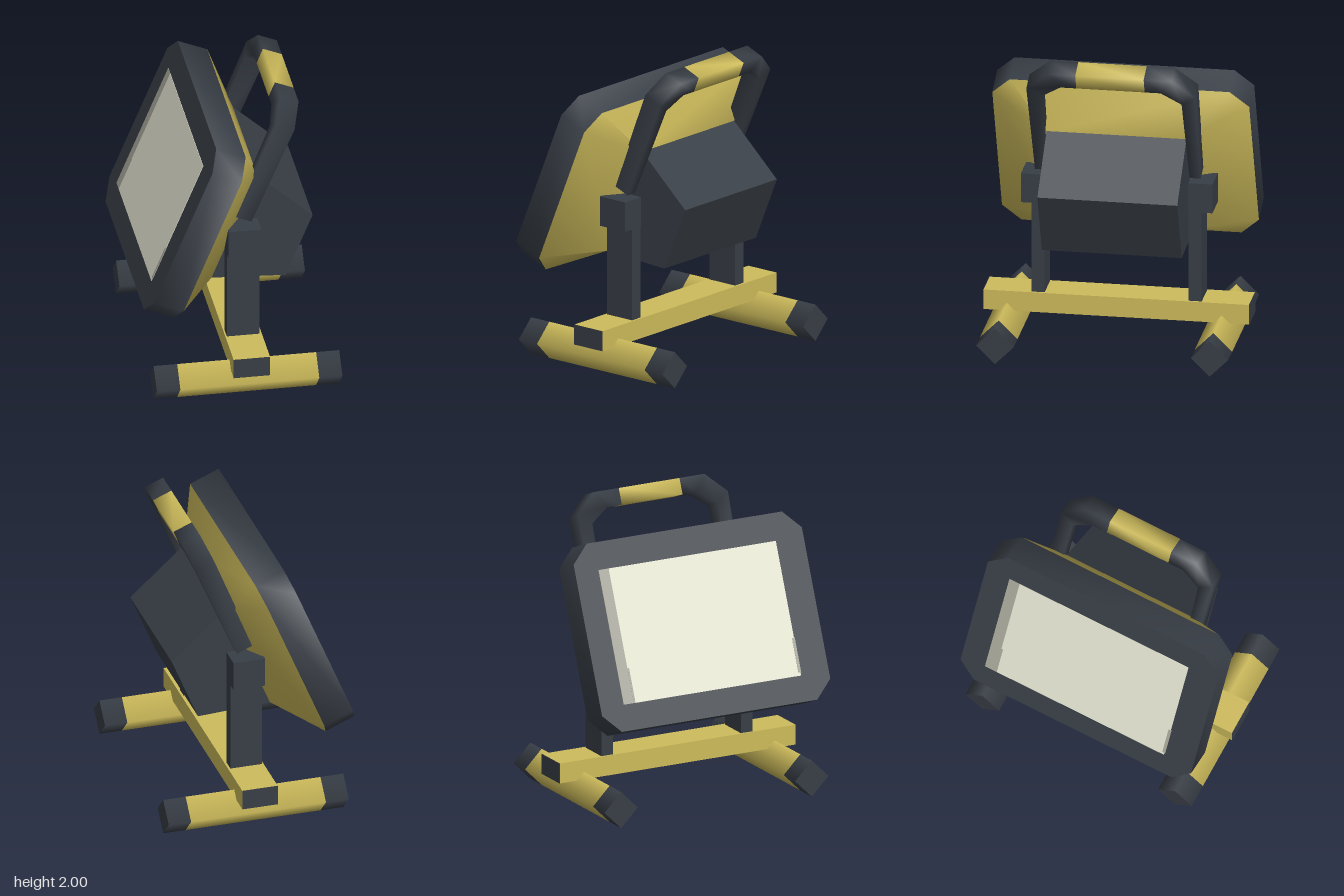
import * as THREE from 'three';
import { toCreasedNormals } from 'three/addons/utils/BufferGeometryUtils.js';

// Skin between rings of [x, y, z] points that run counter-clockwise about the travel direction
function loft(rings, caps = [true, true]) {
  const n = rings[0].length, last = rings.length - 1;
  const pos = rings.flat(2), index = [];
  for (let i = 0; i < last; i++) {
    for (let j = 0; j < n; j++) {
      const k = (j + 1) % n;
      const a = i * n + j, b = i * n + k, c = b + n, d = a + n;
      index.push(a, b, c, a, c, d);
    }
  }
  [0, last].forEach((r, side) => {
    if (!caps[side]) return;
    const s = pos.length / 3;
    pos.push(...rings[r].flat());
    for (let j = 1; j < n - 1; j++) {
      if (side) index.push(s, s + j, s + j + 1);
      else index.push(s, s + j + 1, s + j);
    }
  });
  const g = new THREE.BufferGeometry();
  g.setAttribute('position', new THREE.Float32BufferAttribute(pos, 3));
  g.setIndex(index);
  g.computeVertexNormals();
  return g;
}

// Ring of a chamfered rectangle in the plane at x
const octagon = (x, h, w, c) => [
  [x, h, -w + c], [x, h, w - c], [x, h - c, w], [x, -h + c, w],
  [x, -h, w - c], [x, -h, -w + c], [x, -h + c, -w], [x, h - c, -w],
];
const rect = (x, h, w) => [[x, h, -w], [x, h, w], [x, -h, w], [x, -h, -w]];

export function createModel() {
  const model = new THREE.Group();
  model.name = 'workLight';
  const mat = (name, color) => {
    const m = new THREE.MeshStandardMaterial({ color });
    m.name = name;
    return m;
  };
  const yellow = mat('yellow', 0xcdbb5b);
  const dark = mat('darkGrey', 0x383e46);
  const glass = mat('paleGlass', 0xe3e4d1);
  const shade = mat('greyGlassEdge', 0xa6a69a);

  const add = (parent, name, geometry, material) => {
    const mesh = new THREE.Mesh(geometry, material);
    mesh.name = name;
    parent.add(mesh);
    return mesh;
  };
  const box = (parent, name, material, x0, x1, y0, y1, z0, z1) =>
    add(parent, name, new THREE.BoxGeometry(x1 - x0, y1 - y0, z1 - z0), material)
      .position.set((x0 + x1) / 2, (y0 + y1) / 2, (z0 + z1) / 2);

  // Tilted lamp head: local +x points to its back, y runs along the panel
  const head = new THREE.Group();
  head.name = 'lampHead';
  head.position.set(-0.2125, 1.171, 0);
  head.rotation.z = -Math.PI / 8;
  model.add(head);

  // Front frame
  const frame = loft([octagon(-0.21, 0.622, 0.845, 0.122), octagon(0, 0.622, 0.845, 0.122)]);
  add(head, 'frontFrame', toCreasedNormals(frame, 1), dark);

  // Flat window with a grey edge and two small grey marks
  box(head, 'window', glass, -0.213, -0.209, -0.45, 0.44, -0.6, 0.638);
  box(head, 'windowEdge', shade, -0.213, -0.209, -0.45, 0.44, -0.675, -0.6);
  box(head, 'windowMark', shade, -0.214, -0.209, -0.45, -0.22, -0.6, -0.588);
  box(head, 'windowMark', shade, -0.214, -0.209, -0.43, -0.2, 0.622, 0.643);

  // Tapered housing behind the frame
  const shell = loft([octagon(0, 0.622, 0.845, 0.122), octagon(0.227, 0.395, 0.46, 0.002)], [false, true]);
  add(head, 'housing', toCreasedNormals(shell, 1), yellow);

  // Wedge-shaped rear box
  const rear = loft([rect(0.226, 0.395, 0.46), rect(0.688, 0.232, 0.46)]);
  add(head, 'rearBox', toCreasedNormals(rear, 0.3), dark);

  // Carrying handle: [outer z, outer y, inner z, inner y, half width]
  const stations = [
    [0.545, 0.108, 0.472, 0.108, 0.06],
    [0.555, 0.828, 0.462, 0.764, 0.067],
    [0.41, 0.963, 0.33, 0.854, 0.067],
    [0.225, 0.963, 0.225, 0.854, 0.067],
  ];
  const handleRing = (side) => ([oz, oy, iz, iy, w]) => [
    [0.228 - w, oy, oz * side], [0.228 + w, oy, oz * side],
    [0.228 + w, iy, iz * side], [0.228 - w, iy, iz * side],
  ];
  const leftArm = stations.map(handleRing(1));
  // Mirrored rings keep the same winding once their travel order is reversed
  const rightArm = stations.map(handleRing(-1)).reverse();
  add(head, 'leftHandleArm', loft(leftArm, [true, false]), dark);
  add(head, 'handleGrip', loft([leftArm[3], rightArm[0]], [false, false]), yellow);
  add(head, 'rightHandleArm', loft(rightArm, [false, true]), dark);

  // Uprights, each with a wider pivot block
  for (const s of [1, -1]) {
    const span = (a, b) => (s > 0 ? [a, b] : [-b, -a]);
    box(model, 'upright', dark, -0.07, 0.145, 0.328, 0.946, ...span(0.473, 0.56));
    box(model, 'pivotBlock', dark, -0.07, 0.145, 0.944, 1.143, ...span(0.47, 0.63));
    box(model, 'crossbarEnd', dark, -0.08, 0.16, 0.194, 0.329, ...span(0.872, 0.876));
  }
  box(model, 'crossbar', yellow, -0.08, 0.16, 0.194, 0.329, -0.872, 0.872);

  // Diamond-section feet with dark tips
  for (const z of [0.718, -0.694]) {
    for (const [name, material, x0, x1] of [
      ['footFrontTip', dark, -0.58, -0.425],
      ['footBar', yellow, -0.425, 0.49],
      ['footBackTip', dark, 0.49, 0.642],
    ]) {
      const bar = new THREE.CylinderGeometry(0.123, 0.123, x1 - x0, 4);
      bar.rotateZ(Math.PI / 2);
      add(model, name, bar, material).position.set((x0 + x1) / 2, 0.123, z);
    }
  }
  return model;
}
